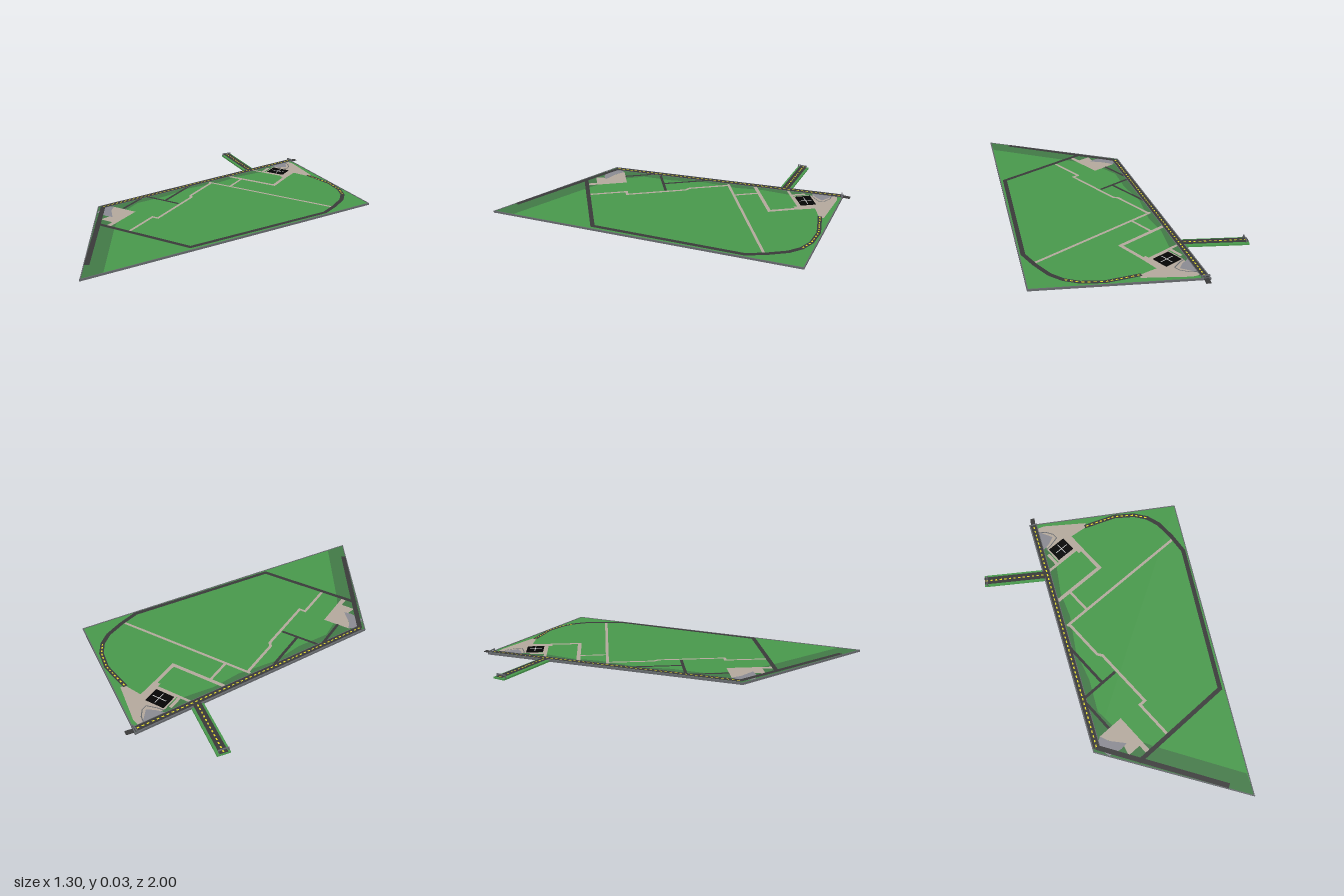
import * as THREE from 'three';

const mat = (name, color) => {
  const m = new THREE.MeshStandardMaterial({ color });
  m.name = name;
  return m;
};

export function createModel() {
  const grass = mat('grass green', 0x499a4c);
  const shade = mat('dark grass', 0x427a47);
  const asphalt = mat('asphalt', 0x3a3a3a);
  const kerb = mat('kerb grey', 0x66696d);
  const paving = mat('beige paving', 0xb5aa9e);
  const stone = mat('blue grey stone', 0x8b8b93);
  const yellow = mat('road yellow', 0xe6dc28);
  const black = mat('roof black', 0x050505);
  const white = mat('line white', 0xd8d8d8);

  const root = new THREE.Group();
  root.name = 'sitePlan';
  const BASE = 0.009, TOP = 0.017;

  const add = (name, geometry, material, parent = root) => {
    const mesh = new THREE.Mesh(geometry, material);
    mesh.name = name;
    parent.add(mesh);
    return mesh;
  };
  // plan points are [x, z]
  const outline = pts => new THREE.Shape(pts.map(([x, z]) => new THREE.Vector2(x, -z)));
  // flat plate at layer n above the ground
  const plate = (name, pts, material, layer) => {
    const g = new THREE.ShapeGeometry(outline(pts)).rotateX(-Math.PI / 2);
    return add(name, g.translate(0, TOP + layer * 0.0006, 0), material);
  };
  // plate facing down, n layers under the ground
  const underPlate = (name, pts, material, layer) => {
    const g = new THREE.ShapeGeometry(outline(pts.map(([x, z]) => [x, -z]))).rotateX(Math.PI / 2);
    return add(name, g.translate(0, BASE - layer * 0.0007, 0), material);
  };
  // solid standing on the plan outline
  const solid = (name, pts, y0, y1, material) => {
    const g = new THREE.ExtrudeGeometry(outline(pts), { depth: y1 - y0, bevelEnabled: false });
    return add(name, g.rotateX(-Math.PI / 2).translate(0, y0, 0), material);
  };
  // mitred strip polygon along a polyline
  const strip = (pts, width) => {
    const v = pts.map(p => new THREE.Vector2(...p));
    const left = [], right = [];
    v.forEach((p, i) => {
      const a = p.clone().sub(v[Math.max(i - 1, 0)]).normalize();
      const b = v[Math.min(i + 1, v.length - 1)].clone().sub(p).normalize();
      const dir = a.clone().add(b).normalize();
      const half = width / 2 / Math.max(0.4, dir.dot(i ? a : b));
      left.push([p.x - dir.y * half, p.y + dir.x * half]);
      right.unshift([p.x + dir.y * half, p.y - dir.x * half]);
    });
    return left.concat(right);
  };
  const path = (name, pts, width, material, layer) => plate(name, strip(pts, width), material, layer);
  // yellow centre line dashes
  const dashes = (name, pts, step, layer) => {
    for (let i = 0; i < pts.length - 1; i++) {
      const a = new THREE.Vector2(...pts[i]), b = new THREE.Vector2(...pts[i + 1]);
      const n = Math.max(1, Math.round(a.distanceTo(b) / step));
      for (let k = 0; k < n; k++) {
        const p = a.clone().lerp(b, (k + 0.2) / n), q = a.clone().lerp(b, (k + 0.7) / n);
        path(name, [p.toArray(), q.toArray()], 0.007, yellow, layer);
      }
    }
  };

  // ground
  const N = [-0.06, -0.97], E = [0.65, -0.5], S = [-0.19, 1], W = [-0.65, 0.28];
  solid('ground', [N, E, S, W], BASE, TOP, [grass, kerb]);
  const spurLine = [[-0.468, -0.862], [-0.195, -0.665]];
  solid('spurGround', strip(spurLine, 0.066), BASE, TOP, grass);
  const verge = [N, W, S, [-0.14, 0.89], [-0.4, 0.46], [-0.48, 0.3], [-0.49, 0.13],
    [-0.41, -0.03], [-0.36, -0.2], [-0.25, -0.38], [-0.2, -0.52], [-0.1, -0.68], [-0.02, -0.9]];
  plate('shadedVerge', verge, shade, 1);

  // raised border kerb
  [[N, E], [E, S], [S, W], [W, N]].forEach(([a, b]) => {
    const d = new THREE.Vector2(b[0] - a[0], b[1] - a[1]).normalize().multiplyScalar(0.0025);
    solid('borderKerb', strip([[a[0] - d.y, a[1] + d.x], [b[0] - d.y, b[1] + d.x]], 0.005), BASE, 0.0195, kerb);
  });

  // plazas
  plate('westPaving', [[-0.575, 0.24], [-0.425, 0.24], [-0.425, 0.475], [-0.45, 0.475], [-0.45, 0.415],
    [-0.525, 0.415], [-0.51, 0.36], [-0.56, 0.27]], paving, 3);
  plate('westStonePlaza', [[-0.62, 0.27], [-0.57, 0.24], [-0.55, 0.29], [-0.49, 0.36], [-0.53, 0.365],
    [-0.6, 0.35]], stone, 4);
  plate('northPaving', [[-0.04, -0.92], [0.0, -0.905], [0.19, -0.76], [0.17, -0.74], [0.075, -0.75],
    [0.07, -0.64], [0.035, -0.64], [0.035, -0.66], [-0.19, -0.66], [-0.19, -0.675], [-0.085, -0.675],
    [-0.085, -0.77]], paving, 3);
  plate('northStonePlaza', [[-0.055, -0.92], [-0.035, -0.87], [-0.01, -0.82], [-0.05, -0.8],
    [-0.115, -0.785]], stone, 4);
  const loop = [[-0.06, -0.9], [-0.02, -0.87], [0.004, -0.83], [0.004, -0.8], [-0.05, -0.785], [-0.09, -0.78]];
  path('plazaLoop', loop, 0.005, kerb, 5);

  // footpaths
  [
    [[[-0.3, -0.345], [0.49, -0.345]], 0.015],
    [[[-0.157, -0.49], [-0.157, -0.345]], 0.014],
    [[[-0.25, -0.493], [0.062, -0.493], [0.062, -0.75]], 0.02],
    [[[-0.285, -0.345], [-0.285, -0.11], [-0.268, -0.085], [-0.268, 0.255], [-0.302, 0.255], [-0.302, 0.47]], 0.015],
    [[[-0.1, -0.75], [-0.1, -0.67]], 0.018],
  ].forEach(([pts, w]) => path('footpath', pts, w, paving, 5));

  // service lanes
  [
    [[-0.37, -0.26], [-0.37, 0.03]],
    [[-0.52, 0.03], [-0.28, 0.03]],
    [[-0.507, 0.03], [-0.507, 0.24]],
  ].forEach(pts => path('serviceLane', pts, 0.015, asphalt, 6));

  // roads
  const main = [[-0.622, 0.275], [-0.045, -0.948]];
  const southWest = [[-0.622, 0.27], [-0.25, 0.875]];
  const perimeter = [[-0.51, 0.475], [0.072, 0.475], [0.485, -0.25], [0.497, -0.36], [0.497, -0.47],
    [0.475, -0.545], [0.43, -0.61], [0.34, -0.68], [0.25, -0.715], [0.17, -0.745]];
  path('mainRoadEdge', main, 0.04, kerb, 6);
  path('mainRoad', main, 0.032, asphalt, 7);
  path('southWestRoad', southWest, 0.026, asphalt, 7);
  path('perimeterRoad', perimeter, 0.023, asphalt, 7);
  path('spurRoad', spurLine, 0.042, asphalt, 7);
  dashes('mainRoadDash', main, 0.026, 8);
  dashes('curveRoadDash', perimeter.slice(5), 0.026, 8);
  dashes('spurRoadDash', spurLine, 0.026, 8);
  solid('roadStub', strip([[-0.05, -0.945], [-0.02, -0.99]], 0.024), TOP - 0.002, TOP + 0.002, asphalt);

  // dark panelled roof with pale dividing lines
  add('panelRoof', new THREE.BoxGeometry(0.106, 0.003, 0.088), black).position.set(-0.023, TOP + 0.0025, -0.727);
  [[0.004, 0.07], [0.08, 0.004]].forEach(([w, d]) =>
    add('roofLine', new THREE.BoxGeometry(w, 0.001, d), white).position.set(-0.02, TOP + 0.0043, -0.727));

  // gate frames across the road ends
  const gate = (name, a, b, height) => {
    const g = new THREE.Group();
    g.name = name;
    const dx = b[0] - a[0], dz = b[1] - a[1], len = Math.hypot(dx, dz);
    [-1, 1].forEach(s => add('gatePost', new THREE.BoxGeometry(0.006, height, 0.006), kerb, g)
      .position.set(s * len / 2, height / 2, 0));
    add('gateBeam', new THREE.BoxGeometry(len + 0.006, 0.005, 0.006), kerb, g).position.y = height - 0.0025;
    g.position.set((a[0] + b[0]) / 2, TOP - 0.003, (a[1] + b[1]) / 2);
    g.rotation.y = -Math.atan2(dz, dx);
    root.add(g);
  };
  gate('spurGate', [-0.473, -0.83], [-0.445, -0.87], 0.019);
  gate('mainGate', [-0.06, -0.957], [-0.028, -0.942], 0.018);

  // foundations underneath
  add('basin', new THREE.CylinderGeometry(0.036, 0.036, BASE, 24), kerb).position.set(-0.047, BASE / 2, -0.84);
  underPlate('vergeBed', verge, shade, 1);
  underPlate('mainRoadBed', strip(main, 0.034), black, 2);
  underPlate('westPlazaBed', [[-0.62, 0.27], [-0.55, 0.13], [-0.43, 0.24], [-0.43, 0.36], [-0.54, 0.38]], black, 3);
  underPlate('northPavingBed', [[-0.02, -0.92], [0.18, -0.77], [0.17, -0.74], [0.06, -0.77]], black, 3);
  underPlate('perimeterRoadBed', strip([[0.48, -0.24], [0.13, 0.37]], 0.012), black, 2);
  underPlate('spurRoadBed', strip(spurLine, 0.03), black, 2);

  return root;
}
